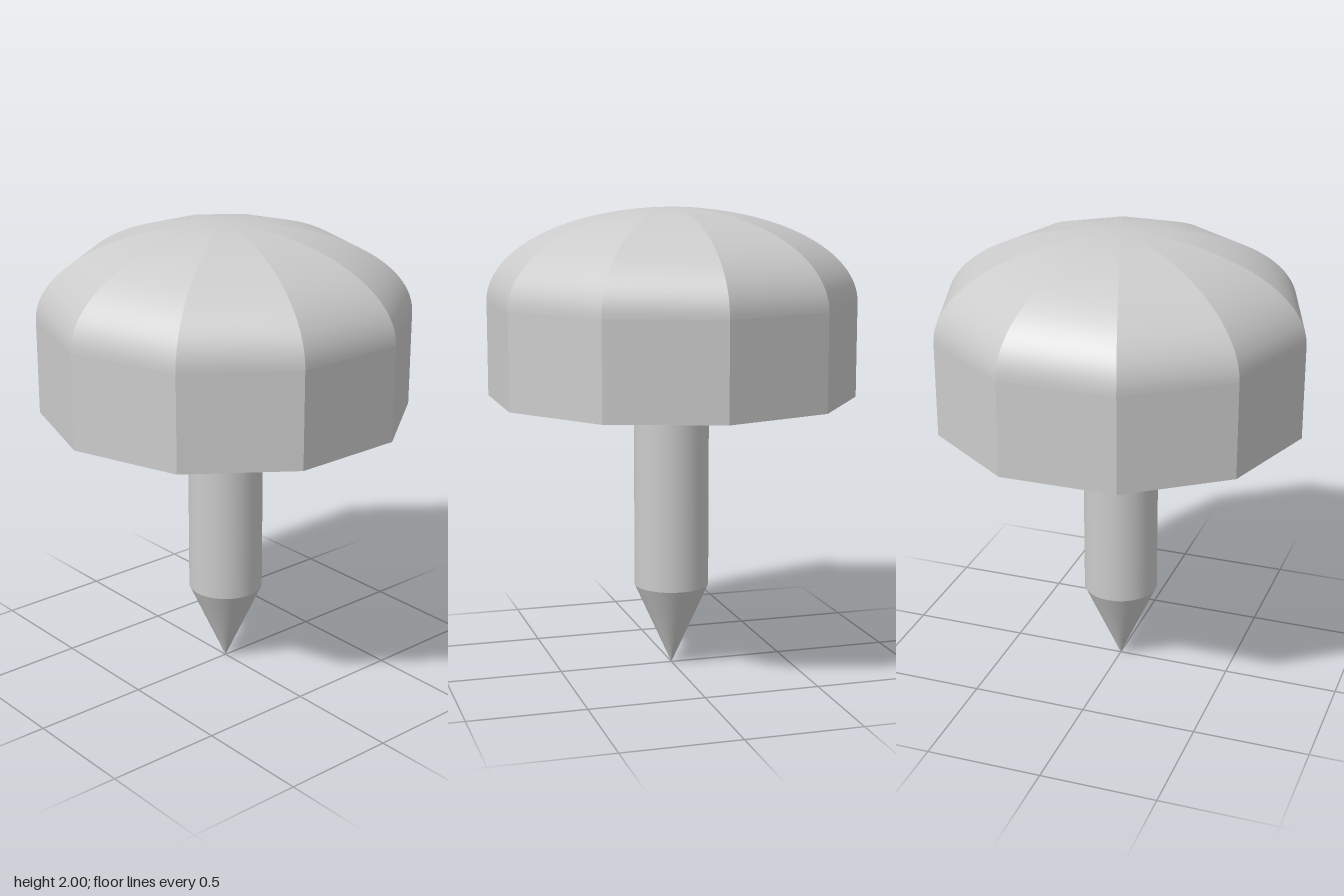
import * as THREE from 'three';
import { mergeGeometries } from 'three/addons/utils/BufferGeometryUtils.js';

const SIDES = 10, STEP = Math.PI * 2 / SIDES, START = STEP / 2;
const HEAD_R = 0.792, HEAD_BOTTOM = 1.193, DOME_BOTTOM = 1.6, TOP = 2;
const PIN_R = 0.162, TIP_TOP = 0.36;

export function createModel() {
  const group = new THREE.Group();
  const smooth = new THREE.MeshStandardMaterial({ color: 0xcccccc });
  const flat = new THREE.MeshStandardMaterial({ color: 0xcccccc, flatShading: true });

  const add = (name, geometry, material, y = 0) => {
    const mesh = new THREE.Mesh(geometry, material);
    mesh.name = name;
    mesh.position.y = y;
    group.add(mesh);
  };
  // Upright cylinder between two heights
  const column = (name, rTop, rBottom, y0, y1, open) => add(name,
    new THREE.CylinderGeometry(rTop, rBottom, y1 - y0, 48, 1, open), smooth, (y0 + y1) / 2);

  // Ten-sided head wall with a flat underside
  const wallHeight = DOME_BOTTOM - HEAD_BOTTOM;
  add('headWall', new THREE.CylinderGeometry(HEAD_R, HEAD_R, wallHeight, SIDES, 1, false, START),
    flat, HEAD_BOTTOM + wallHeight / 2);

  // Dome of ten gores: smooth from rim to crown, creased between neighbours
  const profile = [];
  for (let i = 0; i <= 32; i++) {
    const a = i / 32 * Math.PI / 2;
    profile.push(new THREE.Vector2(i === 32 ? 0 : HEAD_R * Math.cos(a),
      DOME_BOTTOM + (TOP - DOME_BOTTOM) * Math.sin(a)));
  }
  const gores = [];
  for (let i = 0; i < SIDES; i++) {
    const gore = new THREE.LatheGeometry(profile, 1, START + i * STEP, STEP);
    gore.computeVertexNormals();
    gores.push(gore);
  }
  add('headDome', mergeGeometries(gores), smooth);

  // Round shaft and pointed tip
  column('shaft', PIN_R, PIN_R, TIP_TOP, HEAD_BOTTOM, true);
  column('tip', PIN_R, 0, 0, TIP_TOP, true);

  return group;
}
